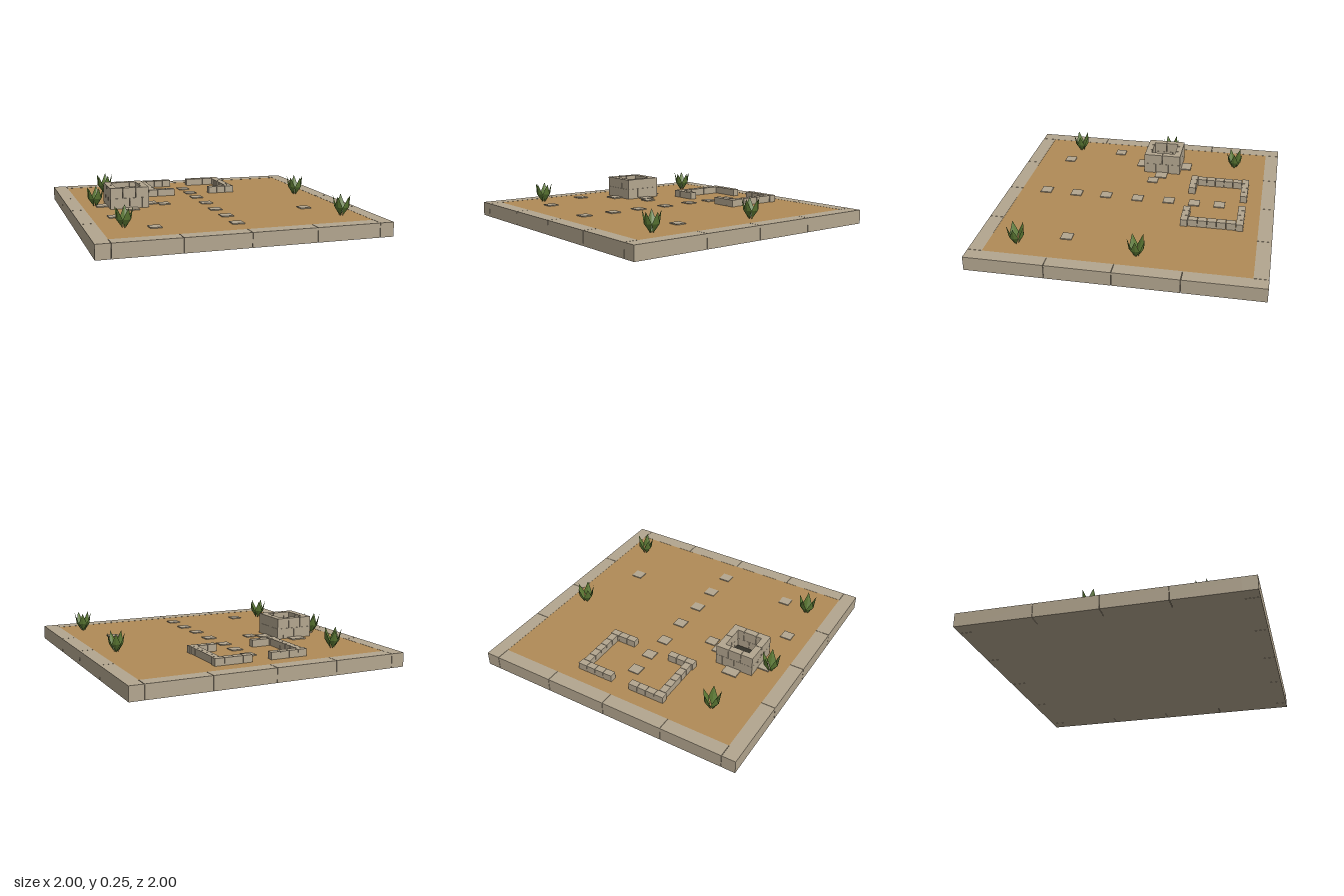
import * as THREE from 'three';

const mat = (name, color) => {
  const m = new THREE.MeshStandardMaterial({ color });
  m.name = name;
  return m;
};

export function createModel() {
  const root = new THREE.Group();
  root.name = 'desertRuin';
  const stone = mat('sandstone', 0xb3a68f);
  const sand = mat('sand', 0xb08b57);
  const dark = mat('dark pit', 0x34322a);
  const green = mat('leaf green', 0x5b7833);

  const GAP = 0.003;
  const group = (name) => {
    const g = new THREE.Group();
    g.name = name;
    root.add(g);
    return g;
  };
  // Box given by its lower and upper limits
  const block = (parent, name, material, x0, x1, y0, y1, z0, z1) => {
    const mesh = new THREE.Mesh(new THREE.BoxGeometry(x1 - x0, y1 - y0, z1 - z0), material);
    mesh.position.set((x0 + x1) / 2, (y0 + y1) / 2, (z0 + z1) / 2);
    mesh.name = name;
    parent.add(mesh);
  };
  // Row of blocks split at the given cuts, along x or z
  const row = (parent, name, axis, cuts, y0, y1, c0, c1) => {
    for (let i = 0; i < cuts.length - 1; i++) {
      const a = cuts[i] + (i > 0 ? GAP / 2 : 0);
      const b = cuts[i + 1] - (i < cuts.length - 2 ? GAP / 2 : 0);
      if (axis === 'x') block(parent, name, stone, a, b, y0, y1, c0, c1);
      else block(parent, name, stone, c0, c1, y0, y1, a, b);
    }
  };
  const even = (a, b, n) => Array.from({ length: n + 1 }, (_, i) => a + ((b - a) * i) / n);

  // Ground: foundation, sand bed and kerb of long blocks
  const ground = group('ground');
  block(ground, 'foundation', stone, -0.9, 0.9, 0, 0.08, -0.9, 0.9);
  block(ground, 'sandBed', sand, -0.9, 0.9, 0.08, 0.099, -0.9, 0.9);
  const kerbCuts = [-1, -0.9, -0.45, 0, 0.45, 0.9, 1];
  for (const s of [-1, 1]) {
    const lo = s < 0 ? -1 : 0.9;
    row(ground, 'kerbBlock', 'x', kerbCuts, 0, 0.1, lo, lo + 0.1);
    row(ground, 'kerbBlock', 'z', even(-0.9, 0.9, 4), 0, 0.1, lo, lo + 0.1);
  }

  // Ruined house: low broken walls with openings front and back
  const house = group('houseWalls');
  const wallTop = 0.15;
  row(house, 'backWallLeft', 'x', even(-0.345, -0.073, 4), 0.098, wallTop, -0.795, -0.745);
  row(house, 'backWallRight', 'x', even(0.07, 0.342, 4), 0.098, wallTop, -0.795, -0.745);
  row(house, 'frontWallLeft', 'x', even(-0.345, -0.143, 3), 0.098, wallTop, -0.405, -0.355);
  row(house, 'frontWallRight', 'x', even(0.14, 0.342, 3), 0.098, wallTop, -0.405, -0.355);
  for (const x of [-0.335, 0.285])
    row(house, 'sideWall', 'z', even(-0.745 + GAP, -0.405 - GAP, 5), 0.098, wallTop, x, x + 0.05);

  // Square well: two courses with staggered joints
  const well = group('well');
  const [wx, wz, R, r] = [-0.58, -0.105, 0.14, 0.092];
  [[-0.0, 0.09], [-0.05, 0.045]].forEach((joints, k) => {
    const y0 = k ? 0.1755 : 0.098;
    const y1 = k ? 0.25 : 0.1745;
    const xCuts = [wx - R, ...joints.map((j) => wx + j), wx + R];
    const zCuts = k ? [wz - r, wz, wz + r] : [wz - r, wz - 0.05, wz + 0.05, wz + r];
    for (const s of [-1, 1]) {
      const near = s < 0 ? -R : r;
      const far = s < 0 ? -r : R;
      row(well, 'wellBlock', 'x', xCuts, y0, y1, wz + near, wz + far);
      row(well, 'wellBlock', 'z', zCuts, y0, y1, wx + near, wx + far);
    }
  });
  block(well, 'wellPit', dark, wx - r, wx + r, 0.1, 0.115, wz - r, wz + r);

  // Flat stones around the well, on the path and scattered over the sand
  const paving = group('pavingStones');
  const slab = (name, x, z, w, d, top) =>
    block(paving, name, stone, x - w / 2, x + w / 2, 0.098, top, z - d / 2, z + d / 2);
  slab('wellStep', wx, -0.28, 0.11, 0.08, 0.107);
  slab('wellStep', wx, 0.07, 0.11, 0.08, 0.107);
  slab('wellStep', -0.395, wz, 0.085, 0.09, 0.107);
  slab('wellStep', -0.76, wz, 0.085, 0.09, 0.107);
  const pathZ = [-0.6, -0.415, -0.225, 0.01, 0.25, 0.475, 0.71];
  pathZ.forEach((z, i) => slab('pathStone', i % 2 ? 0.002 : -0.004, z, 0.083, 0.08, 0.106));
  for (const [x, z] of [[-0.745, 0.285], [-0.305, -0.055], [-0.55, 0.665], [0.625, 0.385]])
    slab('looseStone', x, z, 0.08, 0.078, 0.106);

  // Spiky plants: five thin pointed blades leaning outwards
  const blade = () => {
    // base, side, inner ridge, side, outer ridge, tip
    const p = [
      [0.012, 0, 0], [0.042, 0.062, 0.031], [0.036, 0.064, 0],
      [0.042, 0.062, -0.031], [0.05, 0.06, 0], [0.064, 0.142, 0],
    ];
    const faces = [[0, 1, 2], [0, 2, 3], [0, 3, 4], [0, 4, 1], [5, 2, 1], [5, 3, 2], [5, 4, 3], [5, 1, 4]];
    const g = new THREE.BufferGeometry();
    const corners = faces.flatMap((f) => f.flatMap((i) => p[i]));
    g.setAttribute('position', new THREE.Float32BufferAttribute(corners, 3));
    g.computeVertexNormals();
    return g;
  };
  const bladeGeometry = blade();
  const spots = [[-0.64, -0.66], [-0.805, -0.125], [0.775, -0.125], [-0.745, 0.62], [0.765, 0.7]];
  for (const [x, z] of spots) {
    const plant = group('spikyPlant');
    plant.position.set(x, 0.098, z);
    for (let i = 0; i < 5; i++) {
      const leaf = new THREE.Mesh(bladeGeometry, green);
      leaf.name = 'leaf';
      leaf.rotation.y = (-i * Math.PI * 2) / 5;
      plant.add(leaf);
    }
  }
  return root;
}
